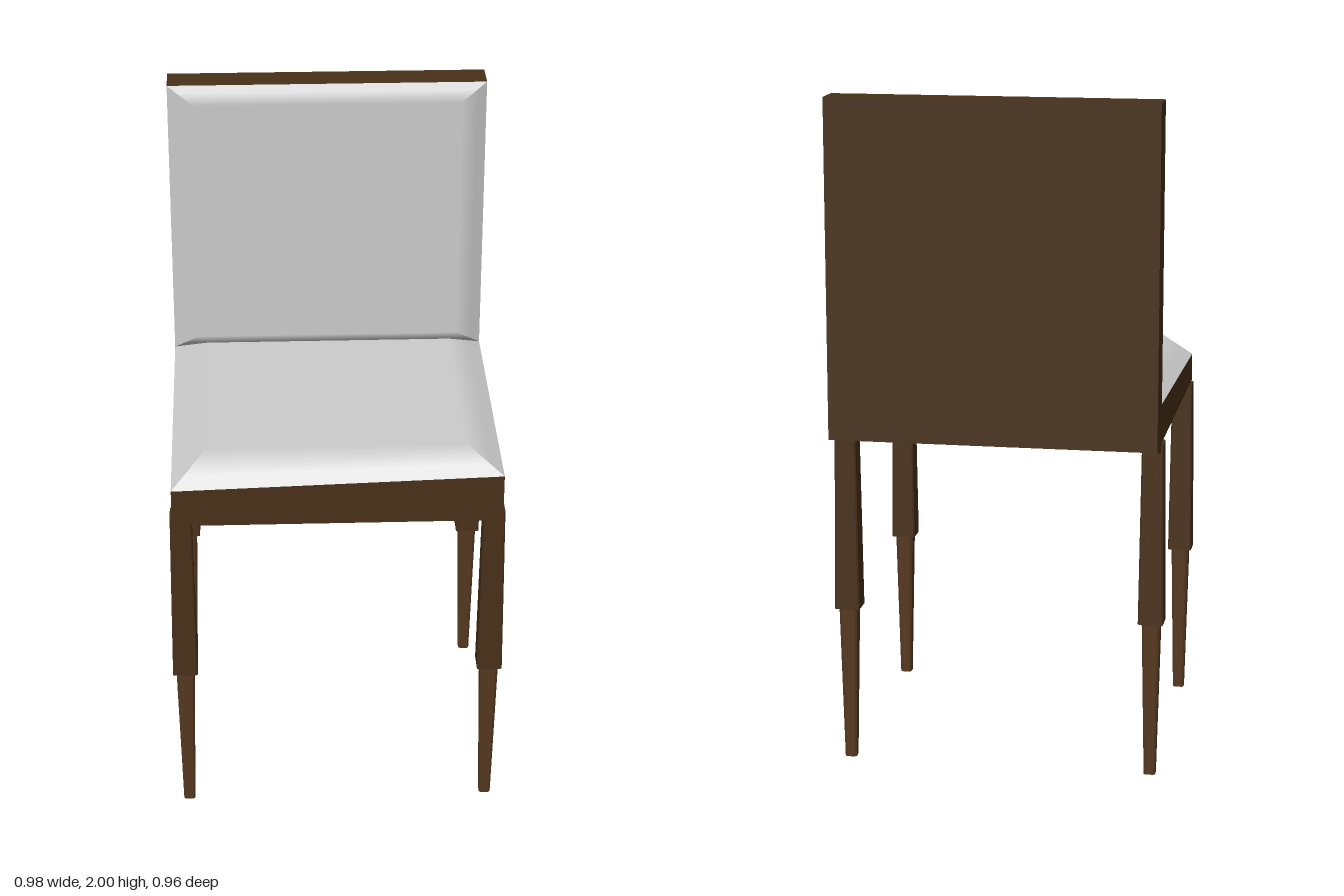
import * as THREE from 'three';

const darkWood = new THREE.MeshStandardMaterial({ color: 0x483018, flatShading: true });
const lightWood = new THREE.MeshStandardMaterial({ color: 0x553820, flatShading: true });
const fabric = new THREE.MeshStandardMaterial({ color: 0xcccccc });

// Closed solid from rings of points, each ring counter-clockwise seen from above, listed bottom to top
function loft(rings) {
  const n = rings[0].length, index = [];
  for (let r = 0; r < rings.length - 1; r++) {
    for (let i = 0; i < n; i++) {
      const a = r * n + i, b = r * n + (i + 1) % n;
      index.push(a, b, b + n, a, b + n, a + n);
    }
  }
  const top = (rings.length - 1) * n;
  for (let i = 1; i < n - 1; i++) index.push(0, i + 1, i, top, top + i, top + i + 1);
  const geo = new THREE.BufferGeometry();
  geo.setAttribute('position', new THREE.Float32BufferAttribute(rings.flat(2), 3));
  geo.setIndex(index);
  const flat = geo.toNonIndexed();
  flat.computeVertexNormals();
  return flat;
}

// Rectangle ring at one height
const rect = (hx, front, back, y) => [[-hx, y, front], [hx, y, front], [hx, y, back], [-hx, y, back]];

// Square ring with clipped corners
function clipped(h, c, y) {
  const k = h - c;
  return [[-k, y, h], [k, y, h], [h, y, k], [h, y, -k], [k, y, -h], [-k, y, -h], [-h, y, -k], [-h, y, k]];
}

// Padded cushion: four bevels whose normals blend into the flat face, with sharp mitred corners
function cushion(base, face, up) {
  const position = [], normal = [];
  const quad = (pts, nrm) => [0, 1, 2, 0, 2, 3].forEach(i => {
    position.push(...pts[i].toArray());
    normal.push(...nrm[i].toArray());
  });
  const b = base.map(p => new THREE.Vector3(...p)), f = face.map(p => new THREE.Vector3(...p));
  const m = b.map((p, i) => p.clone().lerp(f[i], 0.38));
  for (let i = 0; i < 4; i++) {
    const j = (i + 1) % 4;
    const out = b[j].clone().sub(b[i]).cross(f[i].clone().sub(b[i])).normalize();
    quad([b[i], b[j], m[j], m[i]], [out, out, out, out]);
    quad([m[i], m[j], f[j], f[i]], [out, out, up, up]);
  }
  quad(f, [up, up, up, up]);
  const geo = new THREE.BufferGeometry();
  geo.setAttribute('position', new THREE.Float32BufferAttribute(position, 3));
  geo.setAttribute('normal', new THREE.Float32BufferAttribute(normal, 3));
  return geo;
}

export function createModel() {
  const chair = new THREE.Group();
  chair.name = 'chair';
  const add = (name, geo, mat, parent = chair) => {
    const mesh = new THREE.Mesh(geo, mat);
    mesh.name = name;
    parent.add(mesh);
    return mesh;
  };

  // Seat frame, bevelled below, with one front corner slightly lower
  const seatTop = rect(0.478, 0.47, -0.38, 1.13);
  seatTop[0][1] = 1.10;
  add('seatFrame', loft([rect(0.43, 0.47, -0.38, 0.985), rect(0.478, 0.47, -0.38, 1.015), seatTop]), darkWood);

  // Back panel with a sloping underside
  const backBottom = rect(0.478, -0.38, -0.48, 0.985);
  backBottom[2][1] = backBottom[3][1] = 1.01;
  add('backPanel', loft([backBottom, rect(0.478, -0.38, -0.48, 2)]), darkWood);

  // Cushions
  add('seatCushion', cushion(seatTop, rect(0.375, 0.38, -0.285, 1.19), new THREE.Vector3(0, 1, 0)), fabric);
  const upright = (hx, low, high, z) => [[-hx, low, z], [hx, low, z], [hx, high, z], [-hx, high, z]];
  add('backCushion', cushion(upright(0.478, 1.13, 2, -0.38), upright(0.4, 1.19, 1.955, -0.328),
    new THREE.Vector3(0, 0, 1)), fabric);

  // Four legs: a flared upper sleeve over a tapered foot
  const upper = loft([clipped(0.037, 0.004, 0.47), clipped(0.031, 0.004, 1.012)]);
  const lower = loft([clipped(0.017, 0.005, 0), clipped(0.027, 0.007, 0.48)]);
  for (const [end, z] of [['front', 0.44], ['back', -0.353]]) {
    for (const [side, x] of [['Left', 0.453], ['Right', -0.453]]) {
      const leg = new THREE.Group();
      leg.name = end + side + 'Leg';
      leg.position.set(x, 0, z);
      add('upperLeg', upper, darkWood, leg);
      add('lowerLeg', lower, lightWood, leg);
      chair.add(leg);
    }
  }
  return chair;
}
